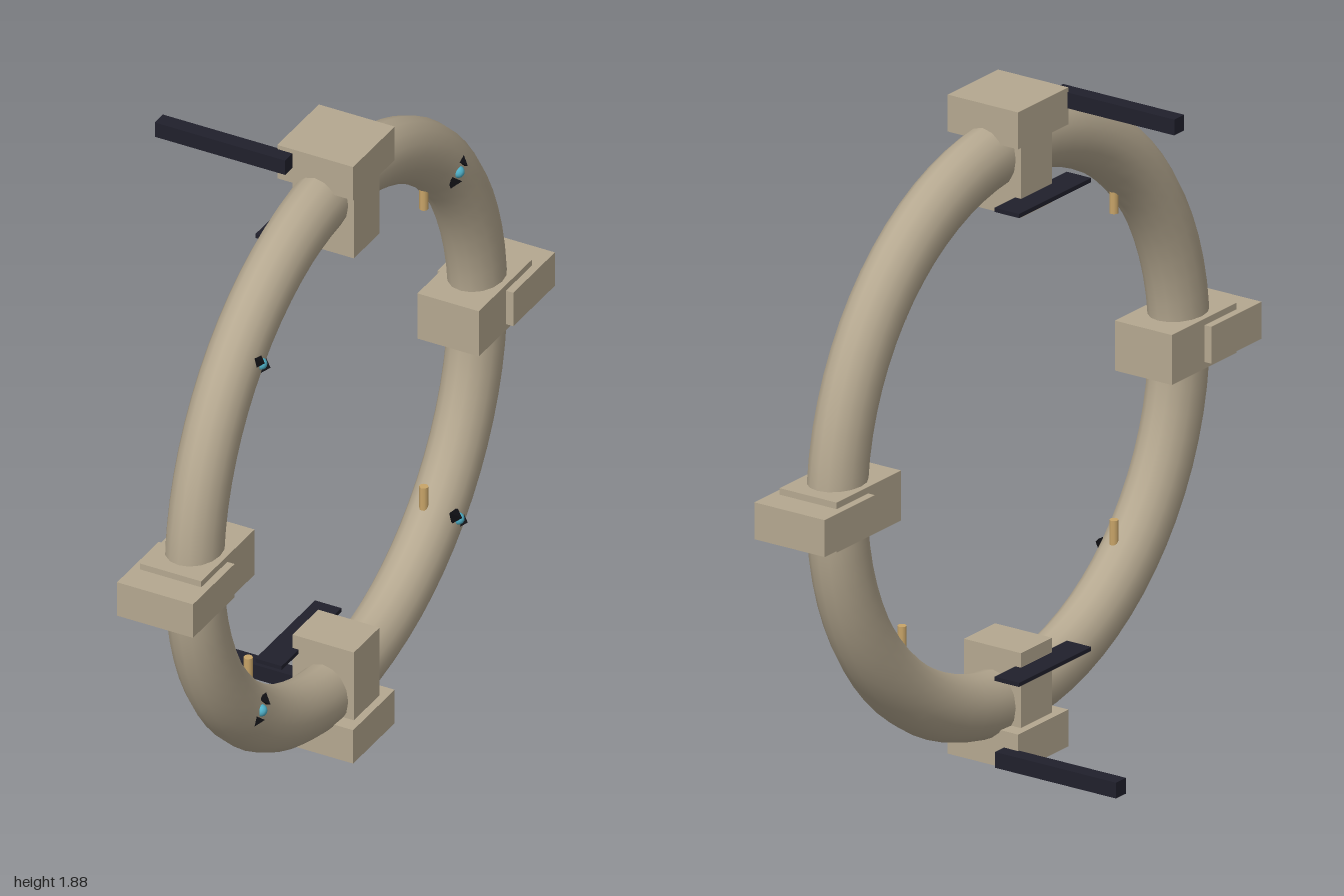
import * as THREE from 'three';

const CX = 0.174, CY = 0.9375; // ring centre

export function createModel() {
  const model = new THREE.Group();
  model.name = 'ringGate';

  const mat = (name, color) => {
    const m = new THREE.MeshStandardMaterial({ color });
    m.name = name;
    return m;
  };
  const stone = mat('stone', 0xb5a890);
  const dark = mat('darkMetal', 0x20202c);
  const black = mat('black', 0x101014);
  const brass = mat('brass', 0xc8a468);
  const cyan = mat('cyanGlow', 0x4fb0c8);

  const add = (name, geo, material, x, y, z) => {
    const mesh = new THREE.Mesh(geo, material);
    mesh.name = name;
    mesh.position.set(x, y, z);
    model.add(mesh);
    return mesh;
  };
  const box = (name, material, w, h, d, x, y, z) =>
    add(name, new THREE.BoxGeometry(w, h, d), material, x, y, z);

  // Main ring, slightly flattened along its axis
  const ringGeo = new THREE.TorusGeometry(0.783, 0.093, 16, 72);
  ringGeo.scale(1, 1, 0.076 / 0.093);
  ringGeo.rotateY(Math.PI / 2);
  add('ring', ringGeo, stone, CX, CY, 0);

  // Four clamps: a level cap block outside and a radial block through the tube
  for (const s of [1, -1]) {
    const end = s > 0 ? 'top' : 'bottom';
    const side = s > 0 ? 'front' : 'back';
    box(end + 'Cap', stone, 0.23, 0.105, 0.23, CX, CY + s * 0.885, 0);
    box(end + 'Clamp', stone, 0.186, 0.295, 0.142, CX, CY + s * 0.767, 0);
    box(side + 'Cap', stone, 0.23, 0.105, 0.23, CX, CY, s * 0.885);
    box(side + 'Clamp', stone, 0.186, 0.142, 0.295, CX, CY, s * 0.767);

    // Long arm beside each cap and thin plate across each clamp
    box(end + 'Arm', dark, 0.395, 0.045, 0.045, -0.0925, CY + s * 0.902, s * 0.133);
    box(end + 'Plate', dark, 0.08, 0.012, 0.33, 0.06, CY + s * 0.667, 0);
  }

  // Lamps, their pointers and the pins at the four diagonals
  for (const sy of [1, -1]) {
    for (const sz of [1, -1]) {
      const lamp = new THREE.Group();
      lamp.name = 'lamp';
      lamp.position.set(0.246, CY + sy * 0.545, sz * 0.545);
      lamp.rotation.x = Math.atan2(sz, sy); // local y points outward
      const bulb = new THREE.Mesh(new THREE.SphereGeometry(0.017, 12, 8), cyan);
      bulb.name = 'lampBulb';
      lamp.add(bulb);
      for (const s of [1, -1]) {
        const pointer = new THREE.Mesh(
          new THREE.ConeGeometry(0.024, 0.028, 4).toNonIndexed(), black);
        pointer.geometry.computeVertexNormals();
        pointer.name = 'lampPointer';
        pointer.position.set(-0.004, s * 0.036, 0);
        pointer.rotation.x = s > 0 ? 0 : Math.PI;
        lamp.add(pointer);
      }
      model.add(lamp);

      const pinY = sy > 0 ? 1.418 : 0.465;
      add('pin', new THREE.CylinderGeometry(0.0125, 0.0125, 0.08, 10), brass,
        CX, pinY, sz * 0.485);
    }
  }
  return model;
}
